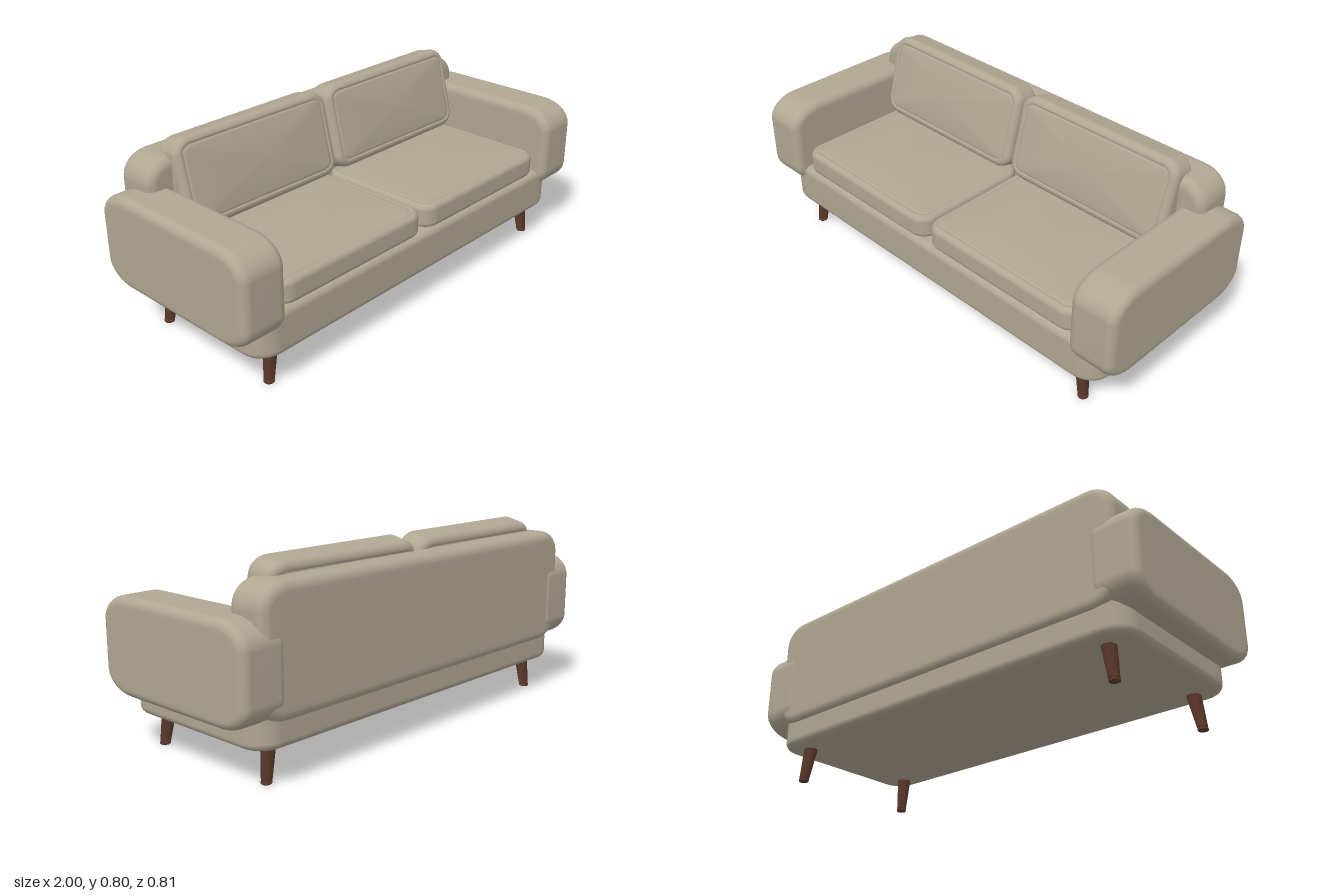
import * as THREE from 'three';

const fabric = new THREE.MeshStandardMaterial({ color: 0xb0a692 });
fabric.name = 'beige fabric';
const wood = new THREE.MeshStandardMaterial({ color: 0x5c392b });
wood.name = 'dark wood';

// Upholstered block: rounded outline in XY swept by rings along Z,
// with rounded rims, a domed face (crown) and an optional stitched groove.
function padded({ w, h, d, rx, ry, edge, crown = 0, seam = false }) {
  const rings = []; // [inset, z, scale], from the middle of the face to the rim
  for (const s of [0, 0.3, 0.55, 0.75, 0.9, 0.97]) {
    rings.push([edge + 0.01, d / 2 + crown * (1 - s * s), s]);
  }
  if (seam) rings.push([edge + 0.009, d / 2, 1], [edge + 0.005, d / 2 - 0.006, 1]);
  const steps = 7;
  for (let i = 0; i <= steps; i++) {
    const t = (i / steps) * Math.PI / 2;
    rings.push([edge * (1 - Math.sin(t)), d / 2 - edge * (1 - Math.cos(t)), 1]);
  }
  const all = rings.concat([...rings].reverse().map(([i, z, s]) => [i, -z, s]));

  const arc = 9, count = 4 * (arc + 1);
  const positions = [], index = [];
  for (const [inset, z, s] of all) {
    const ax = Math.max(rx - inset, 0.01), ay = Math.max(ry - inset, 0.01);
    const cx = w / 2 - inset - ax, cy = h / 2 - inset - ay;
    for (let q = 0; q < 4; q++) {
      const sx = q === 0 || q === 3 ? 1 : -1, sy = q < 2 ? 1 : -1;
      for (let k = 0; k <= arc; k++) {
        const a = (q + k / arc) * Math.PI / 2;
        positions.push(s * (sx * cx + ax * Math.cos(a)), s * (sy * cy + ay * Math.sin(a)), z);
      }
    }
  }
  for (let r = 0; r < all.length - 1; r++) {
    for (let j = 0; j < count; j++) {
      const a = r * count + j, b = r * count + (j + 1) % count;
      const c = a + count, e = b + count;
      if (r < all.length - 2) index.push(a, c, e);
      if (r > 0) index.push(a, e, b);
      if (r === all.length - 2) index.push(a, c, b);
    }
  }
  const geometry = new THREE.BufferGeometry();
  geometry.setAttribute('position', new THREE.Float32BufferAttribute(positions, 3));
  geometry.setIndex(index);
  geometry.computeVertexNormals();
  return geometry;
}

// Tapered round leg with a small foot, splayed outwards towards the floor
function legGeometry(splayX, splayZ) {
  const profile = [[0, 0], [0.019, 0], [0.021, 0.002], [0.021, 0.01], [0.018, 0.011],
    [0.018, 0.014], [0.021, 0.015], [0.03, 0.16], [0, 0.16]];
  const points = [];
  profile.forEach(([r, y], i) => {
    points.push(new THREE.Vector2(r, y));
    // doubled points keep the turned edges crisp
    if (i > 0 && i < profile.length - 1) points.push(new THREE.Vector2(r, y + 0.0001));
  });
  const geometry = new THREE.LatheGeometry(points, 20);
  const p = geometry.attributes.position;
  for (let i = 0; i < p.count; i++) {
    const k = 1 - p.getY(i) / 0.15;
    p.setX(i, p.getX(i) + splayX * k);
    p.setZ(i, p.getZ(i) + splayZ * k);
  }
  return geometry;
}

export function createModel() {
  const sofa = new THREE.Group();
  sofa.name = 'sofa';
  const add = (name, geometry, material, x, y, z) => {
    const mesh = new THREE.Mesh(geometry, material);
    mesh.name = name;
    mesh.position.set(x, y, z);
    sofa.add(mesh);
    return mesh;
  };

  // Base and backrest
  const base = padded({ w: 1.83, h: 0.757, d: 0.185, rx: 0.1, ry: 0.1, edge: 0.03 });
  add('base', base.rotateX(-Math.PI / 2), fabric, 0, 0.238, -0.003);
  const back = padded({ w: 1.81, h: 0.5, d: 0.183, rx: 0.11, ry: 0.1, edge: 0.04 });
  add('backrest', back, fabric, 0, 0.492, -0.308);

  for (const side of [-1, 1]) {
    const label = side > 0 ? 'left' : 'right';

    const arm = padded({ w: 0.81, h: 0.39, d: 0.2, rx: 0.14, ry: 0.1, edge: 0.036 });
    add(label + 'Arm', arm.rotateY(Math.PI / 2), fabric, side * 0.9, 0.43, 0);

    const seat = padded({ w: 0.79, h: 0.58, d: 0.105, rx: 0.07, ry: 0.07, edge: 0.025, crown: 0.007, seam: true });
    add(label + 'SeatCushion', seat.rotateX(-Math.PI / 2), fabric, side * 0.4, 0.375, 0.075);

    const cushion = padded({ w: 0.79, h: 0.37, d: 0.125, rx: 0.075, ry: 0.065, edge: 0.03, crown: 0.012, seam: true });
    add(label + 'BackCushion', cushion, fabric, side * 0.4, 0.615, -0.217).rotation.x = -0.25;

    for (const end of [-1, 1]) {
      add(label + (end > 0 ? 'Front' : 'Back') + 'Leg', legGeometry(side * 0.022, end * 0.01), wood,
        side * 0.793, 0, end > 0 ? 0.29 : -0.287);
    }
  }
  return sofa;
}
